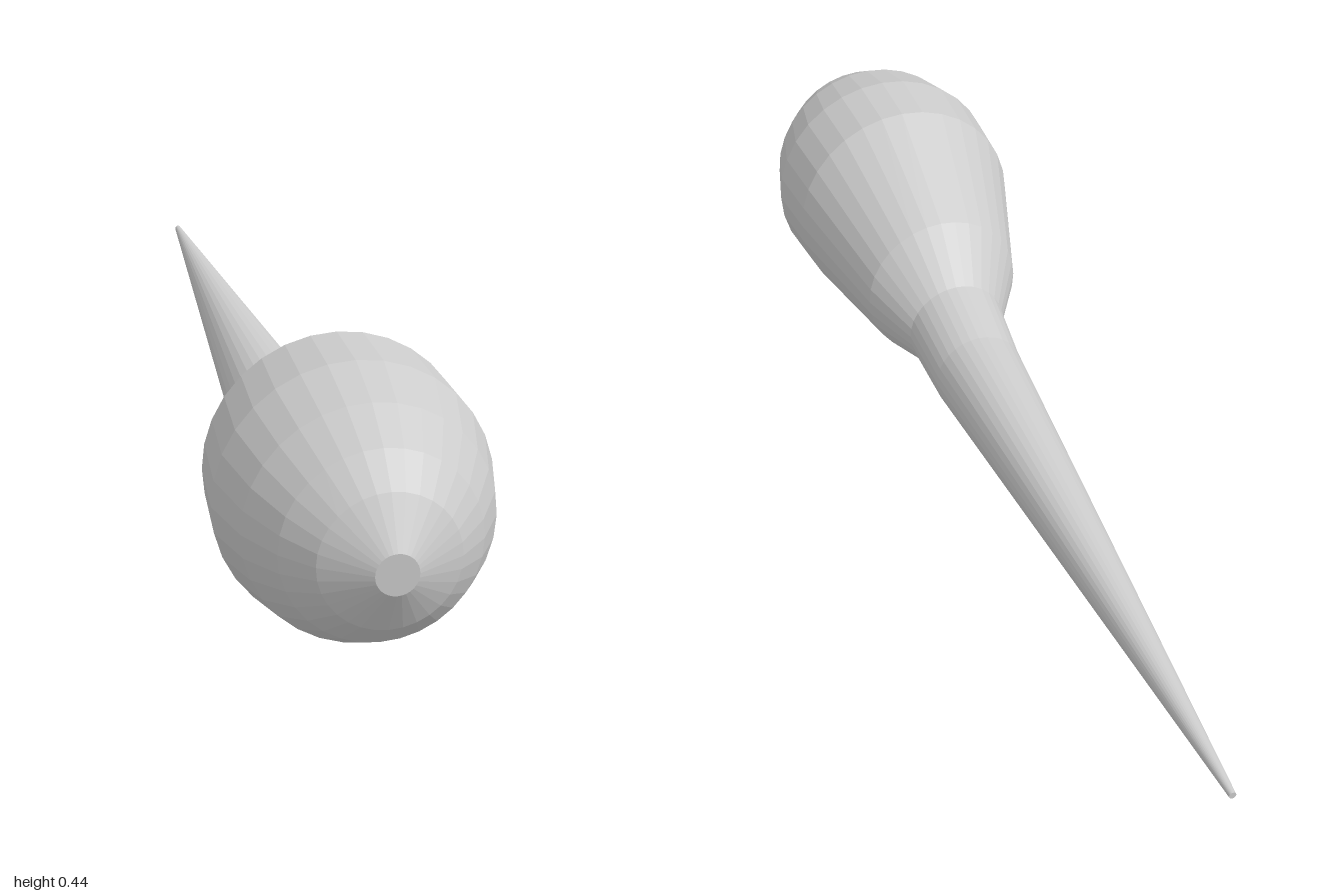
import * as THREE from 'three';

const SIDES = 32;

// Cross-sections along the axis: [z, centre height, radius]
const RINGS = [
  [1.0, 0.219, 0.033],
  [0.955, 0.219, 0.109],
  [0.905, 0.22, 0.155],
  [0.83, 0.221, 0.195],
  [0.725, 0.222, 0.221],
  [0.595, 0.229, 0.213],
  [0.365, 0.179, 0.147],
  [0.28, 0.141, 0.093],
  [0.15, 0.118, 0.084],
  [-1.0, 0.119, 0.006],
];

// Skin the circular sections into one closed, bent body
function loftRings(rings) {
  const positions = [];
  const index = [];
  for (const [z, y, r] of rings) {
    for (let i = 0; i < SIDES; i++) {
      const a = (i / SIDES) * Math.PI * 2;
      positions.push(r * Math.sin(a), y + r * Math.cos(a), z);
    }
  }
  for (let k = 0; k < rings.length - 1; k++) {
    for (let i = 0; i < SIDES; i++) {
      const j = (i + 1) % SIDES;
      const a = k * SIDES + i, b = k * SIDES + j;
      const c = a + SIDES, d = b + SIDES;
      index.push(a, b, d, a, d, c);
    }
  }
  // End caps: nose disc faces +z, tail disc faces -z
  const last = (rings.length - 1) * SIDES;
  for (let i = 1; i < SIDES - 1; i++) {
    index.push(0, i + 1, i);
    index.push(last, last + i, last + i + 1);
  }
  const geometry = new THREE.BufferGeometry();
  geometry.setAttribute('position', new THREE.Float32BufferAttribute(positions, 3));
  geometry.setIndex(index);
  const flat = geometry.toNonIndexed();
  flat.computeVertexNormals();
  return flat;
}

export function createModel() {
  const group = new THREE.Group();
  group.name = 'taperedBulb';
  const material = new THREE.MeshStandardMaterial({ color: 0xcccccc, flatShading: true });

  // Rounded head flowing through a dropped neck into a long pointed tail
  const body = new THREE.Mesh(loftRings(RINGS), material);
  body.name = 'headAndTail';
  group.add(body);
  return group;
}
